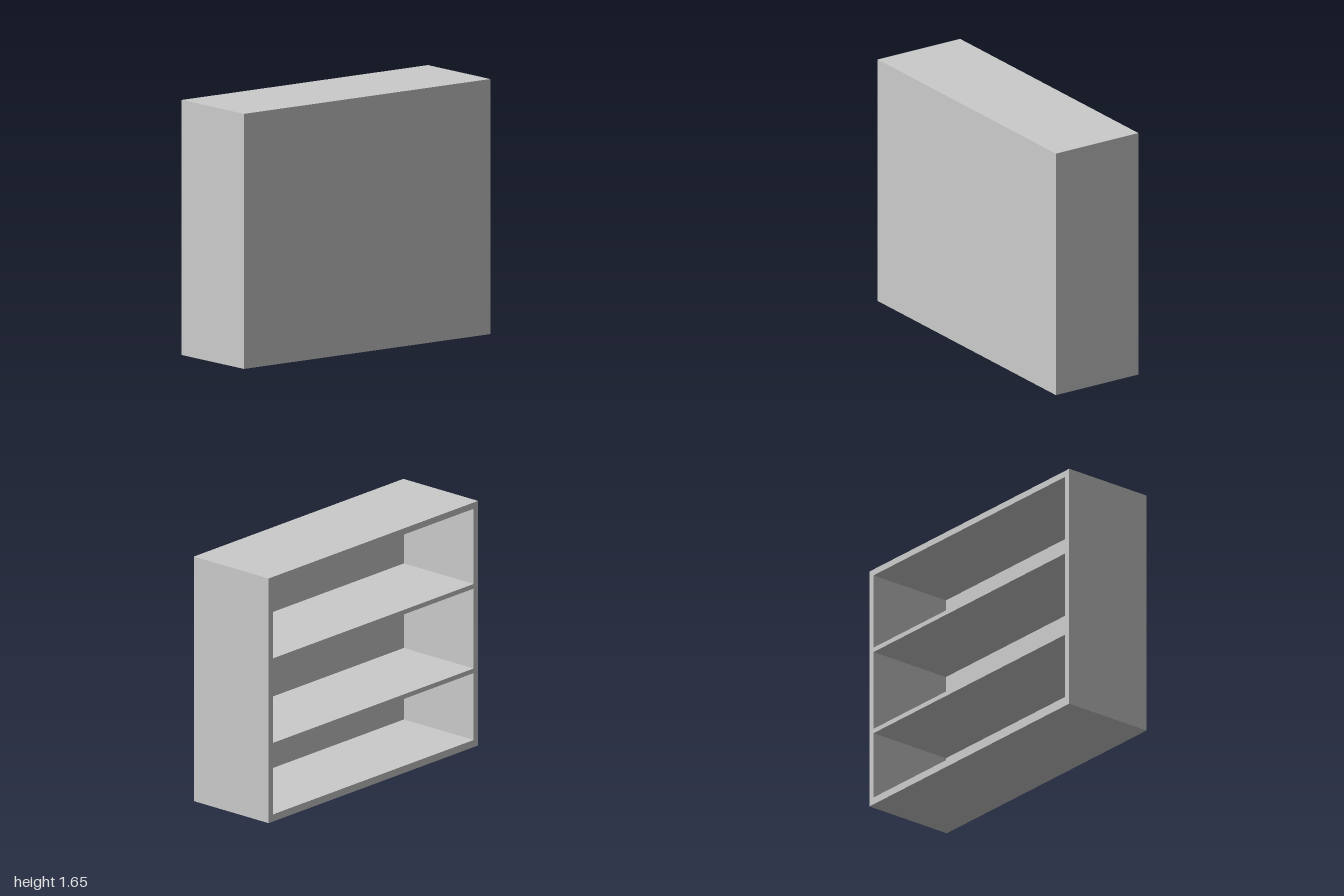
import * as THREE from 'three';

const W = 0.636, H = 1.647, L = 2; // depth (x), height (y), length (z)
const T = 0.042;                   // panel thickness
const BASE_T = 0.048;
const SHELF_T = 0.031;

export function createModel() {
  const group = new THREE.Group();
  group.name = 'bookcase';
  const material = new THREE.MeshStandardMaterial({ color: 0xcccccc, flatShading: true });

  const board = (name, sx, sy, sz, x, y, z) => {
    const mesh = new THREE.Mesh(new THREE.BoxGeometry(sx, sy, sz), material);
    mesh.name = name;
    mesh.position.set(x, y, z);
    group.add(mesh);
  };

  // Outer case, open towards -x
  const innerH = H - T - BASE_T, innerY = BASE_T + innerH / 2;
  board('topPanel', W, T, L, 0, H - T / 2, 0);
  board('bottomPanel', W, BASE_T, L, 0, BASE_T / 2, 0);
  for (const s of [1, -1]) {
    board(s > 0 ? 'frontEndPanel' : 'backEndPanel', W, innerH, T, 0, innerY, s * (L - T) / 2);
  }

  // Closed long side
  board('rearPanel', T, innerH, L - 2 * T, (W - T) / 2, innerY, 0);

  // Shelves, flush with the open edge
  [0.514, 1.083].forEach((y, i) => {
    board(i ? 'upperShelf' : 'lowerShelf', W - T, SHELF_T, L - 2 * T, -T / 2, y, 0);
  });

  return group;
}
